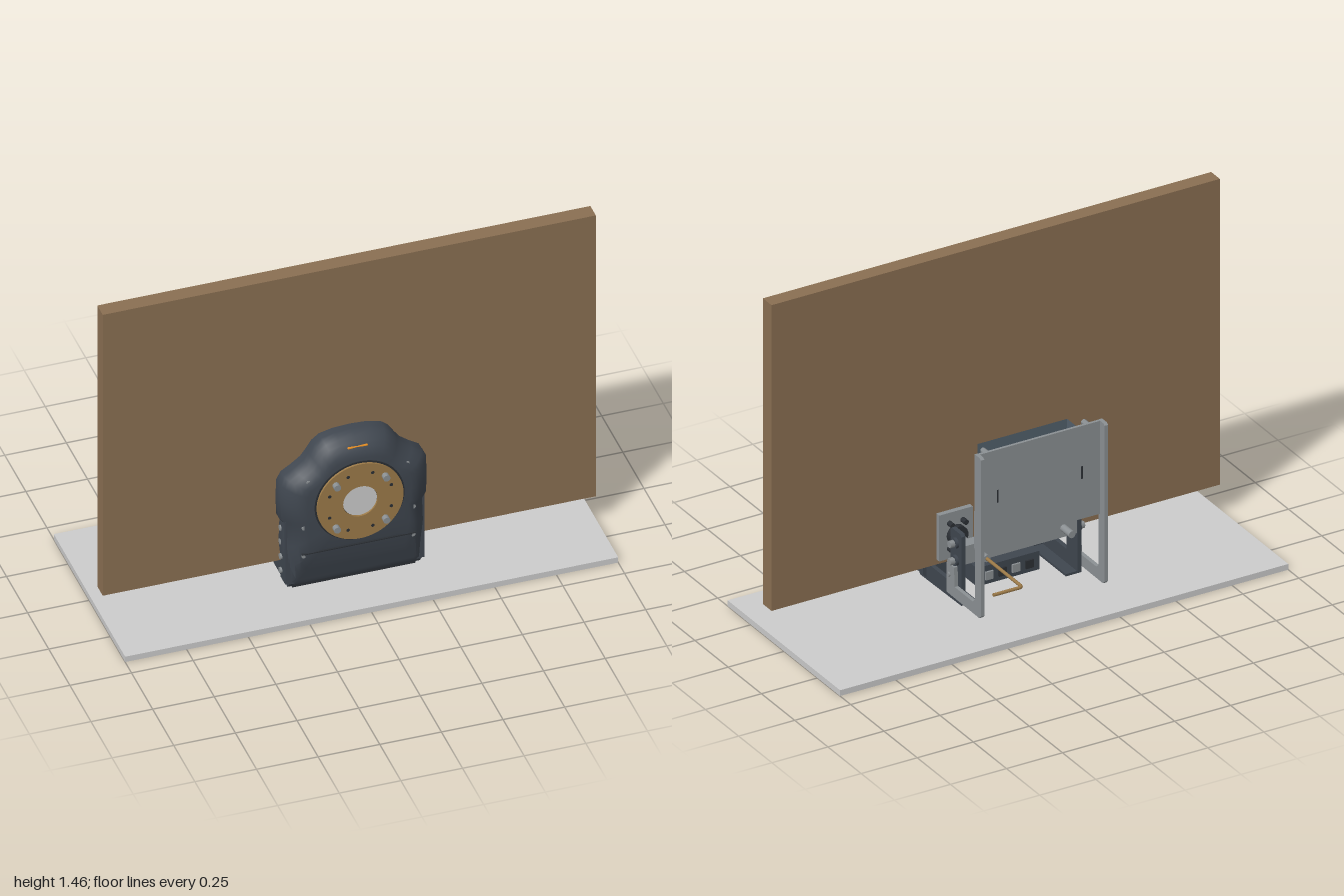
import * as THREE from 'three';
import { toCreasedNormals } from 'three/addons/utils/BufferGeometryUtils.js';

const mat = (color) => new THREE.MeshStandardMaterial({ color });
const GREY = mat(0xcccccc), STEEL = mat(0x8b9093), DARK = mat(0x3f464f), BLACK = mat(0x2b2f34);
const WOOD = mat(0x8a6f52), GOLD = mat(0x9c7a48), ORANGE = mat(0xe08a1c), SLATE = mat(0x52606b);

export function createModel() {
  const root = new THREE.Group();
  root.name = 'clampedUnit';

  const add = (name, geo, material) => {
    const m = new THREE.Mesh(geo, material);
    m.name = name;
    root.add(m);
    return m;
  };
  // box from its min and max on each axis
  const box = (name, material, x0, x1, y0, y1, z0, z1) =>
    add(name, new THREE.BoxGeometry(x1 - x0, y1 - y0, z1 - z0), material)
      .position.set((x0 + x1) / 2, (y0 + y1) / 2, (z0 + z1) / 2);
  // cylinder along z
  const rodZ = (name, material, r, x, y, z0, z1, sides = 24) => {
    const m = add(name, new THREE.CylinderGeometry(r, r, z1 - z0, sides), material);
    m.rotation.x = Math.PI / 2;
    m.position.set(x, y, (z0 + z1) / 2);
  };
  // cylinder along x
  const rodX = (name, material, r, x0, x1, y, z, sides = 16) => {
    const m = add(name, new THREE.CylinderGeometry(r, r, Math.abs(x1 - x0), sides), material);
    m.rotation.z = Math.PI / 2;
    m.position.set((x0 + x1) / 2, y, z);
  };
  // flat side plate: outline as [z, y], placed between x0 and x1
  const sidePlate = (name, material, pts, x0, x1) => {
    const shape = new THREE.Shape(pts.map(([z, y]) => new THREE.Vector2(-z, y)));
    const geo = new THREE.ExtrudeGeometry(shape, { depth: x1 - x0, bevelEnabled: false });
    geo.rotateY(Math.PI / 2).translate(x0, 0, 0);
    add(name, geo, material);
  };

  // base plate and upright panel
  box('basePlate', GREY, -1, 1, 0, 0.025, -0.42, 0.425);
  box('woodPanel', WOOD, -1, 1, 0.132, 1.465, 0.095, 0.16);

  // domed housing
  add('housing', housingGeometry(), DARK);
  box('housingSeam', BLACK, -0.23, 0.23, 0.22, 0.224, 0.24, 0.277);
  box('housingFoot', BLACK, -0.25, 0.25, 0.032, 0.05, 0.165, 0.215);
  const light = add('statusLight', new THREE.CapsuleGeometry(0.006, 0.075, 4, 12), ORANGE);
  light.rotation.z = Math.PI / 2;
  light.position.set(0, 0.67, 0.256);
  for (const s of [-1, 1]) {
    for (const [x, y, z] of [[0.2, 0.55, 0.258], [0.222, 0.345, 0.266], [0.222, 0.21, 0.262]])
      rodZ('housingScrew', STEEL, 0.009, s * x, y, z - 0.02, z + 0.008, 16);
  }

  // face ring with its bolts, holes and centre window
  const ring = new THREE.Shape().absarc(0, 0, 0.175, 0, Math.PI * 2);
  ring.holes.push(new THREE.Path().absarc(0, 0, 0.07, 0, Math.PI * 2, true));
  const ringGeo = new THREE.ExtrudeGeometry(ring, { depth: 0.012, bevelEnabled: false, curveSegments: 32 });
  add('faceRing', toCreasedNormals(ringGeo, 0.6), GOLD).position.set(0, 0.435, 0.28);
  rodZ('faceRim', BLACK, 0.182, 0, 0.435, 0.262, 0.283, 64);
  rodZ('centreWindow', GREY, 0.069, 0, 0.435, 0.27, 0.285, 48);
  for (const sx of [-1, 1]) for (const sy of [-1, 1]) {
    rodZ('faceBolt', STEEL, 0.014, sx * 0.1, 0.435 + sy * 0.1, 0.29, 0.315);
    rodZ('faceHole', BLACK, 0.007, sx * 0.05, 0.435 + sy * 0.125, 0.29, 0.293, 12);
    rodZ('faceHole', BLACK, 0.007, sx * 0.125, 0.435 + sy * 0.05, 0.29, 0.293, 12);
  }

  // connector box under the panel
  box('connectorBox', DARK, -0.14, 0.14, 0.045, 0.125, 0, 0.165);
  for (let i = 0; i < 4; i++)
    box('connector', i % 2 ? STEEL : BLACK, -0.11 + i * 0.06, -0.075 + i * 0.06, 0.065, 0.1, -0.008, 0.002);

  for (const s of [-1, 1]) {
    const span = (a, b) => (s > 0 ? [a, b] : [-b, -a]);

    // dark clamp bracket running from the housing to the rear upright
    sidePlate('clampBracket', DARK, [
      [0.23, 0.355], [0.165, 0.355], [0.165, 0.11], [-0.015, 0.11], [-0.015, 0.34], [-0.025, 0.35],
      [-0.09, 0.35], [-0.098, 0.34], [-0.098, 0.042], [0.21, 0.036], [0.23, 0.06]], ...span(0.25, 0.268));
    box('bracketFlange', DARK, ...span(0.2, 0.262), 0.04, 0.05, -0.095, 0.18);
    box('mountStrip', DARK, ...span(0.262, 0.282), 0.06, 0.355, 0.168, 0.226);
    for (const y of [0.1, 0.165, 0.235, 0.3])
      rodX('mountBolt', STEEL, 0.012, s * 0.27, s * 0.29, y, 0.18);

    // rear frame arm, joined to the bracket
    sidePlate('frameArm', STEEL, [
      [-0.015, 0.2], [-0.015, 0.07], [-0.26, 0.068], [-0.272, 0.08], [-0.272, 0.76], [-0.262, 0.767],
      [-0.226, 0.767], [-0.22, 0.36], [-0.228, 0.35], [-0.228, 0.135], [-0.21, 0.118],
      [-0.075, 0.118], [-0.07, 0.2]], ...span(0.268, 0.284));
    for (const y of [0.225, 0.3]) {
      rodX('pivotWasher', DARK, 0.022, s * 0.262, s * 0.28, y, -0.06);
      rodX('pivotBolt', STEEL, 0.015, s * 0.24, s * 0.3, y, -0.06, 6);
    }
    rodX('frameScrew', STEEL, 0.01, s * 0.28, s * 0.29, 0.155, -0.033);

    // clamp screw pressing a pad against the panel
    box('clampPad', STEEL, ...span(0.115, 0.265), 0.155, 0.355, 0.073, 0.095);
    rodZ('clampCollar', BLACK, 0.042, s * 0.19, 0.255, 0.05, 0.073);
    rodZ('clampNut', BLACK, 0.027, s * 0.19, 0.255, 0.03, 0.05, 6);
    rodZ('clampScrew', STEEL, 0.015, s * 0.19, 0.255, -0.16, 0.05);
    for (const dx of [-0.03, 0.03]) for (const dy of [-0.055, 0.055])
      rodZ('padBolt', BLACK, 0.011, s * 0.19 + dx, 0.255 + dy, 0.045, 0.075, 12);

    // stand-offs at the corners of the rear plate
    for (const y of [0.38, 0.75])
      rodZ('plateNut', STEEL, 0.013, s * 0.225, y, -0.225, -0.187, 6);
    box('plateSlot', BLACK, ...span(0.185, 0.191), 0.535, 0.59, -0.238, -0.234);
  }

  // cross bar carrying the clamp screws
  box('crossBar', STEEL, -0.25, 0.25, 0.215, 0.295, -0.095, -0.045);

  // rear plate with the control unit on it
  box('rearPlate', STEEL, -0.268, 0.268, 0.36, 0.765, -0.236, -0.224);
  box('controlUnit', SLATE, -0.2, 0.2, 0.4, 0.732, -0.105, -0.215);
  box('unitFlange', DARK, -0.235, 0.235, 0.385, 0.745, -0.224, -0.213);

  // bent key in the left clamp screw
  const path = new THREE.CurvePath();
  const v = (x, z) => new THREE.Vector3(x, 0.255, z);
  path.add(new THREE.LineCurve3(v(0.19, -0.14), v(0.19, -0.41)));
  path.add(new THREE.QuadraticBezierCurve3(v(0.19, -0.41), v(0.19, -0.425), v(0.205, -0.425)));
  path.add(new THREE.LineCurve3(v(0.205, -0.425), v(0.32, -0.425)));
  add('bentKey', new THREE.TubeGeometry(path, 80, 0.007, 8), GOLD);
  const tip = new THREE.CircleGeometry(0.007, 8).rotateY(Math.PI / 2);
  add('keyTip', tip, GOLD).position.set(0.32, 0.255, -0.425);

  return root;
}

// loft of the front outline, shrinking towards the face and sloping back at the bottom
function housingGeometry() {
  const half = [[0.26, 0.035], [0.272, 0.05], [0.278, 0.13], [0.288, 0.23], [0.284, 0.34], [0.298, 0.36],
    [0.3, 0.44], [0.298, 0.52], [0.28, 0.555], [0.24, 0.58], [0.2, 0.61], [0.178, 0.64], [0.155, 0.675],
    [0.125, 0.698], [0.07, 0.711]];
  const outline = [...half, [0, 0.715], ...half.map(([x, y]) => [-x, y]).reverse()];
  const rings = [[0.001, 0.162], [1, 0.162], [1, 0.195], [0.985, 0.212], [0.95, 0.23], [0.9, 0.248],
    [0.84, 0.264], [0.77, 0.275], [0.7, 0.28], [0.35, 0.28], [0.001, 0.28]];
  const n = outline.length, pos = [], idx = [];
  for (const [s, z] of rings) for (const [x, y] of outline) {
    const yy = 0.43 + (y - 0.43) * s;
    pos.push(x * s, yy, Math.min(z, 0.222 + (yy - 0.035) * 0.29));
  }
  for (let r = 0; r < rings.length - 1; r++) for (let i = 0; i < n; i++) {
    const a = r * n + i, b = r * n + (i + 1) % n;
    idx.push(a, b, b + n, a, b + n, a + n);
  }
  const geo = new THREE.BufferGeometry();
  geo.setAttribute('position', new THREE.Float32BufferAttribute(pos, 3));
  geo.setIndex(idx);
  return toCreasedNormals(geo, 0.6);
}
